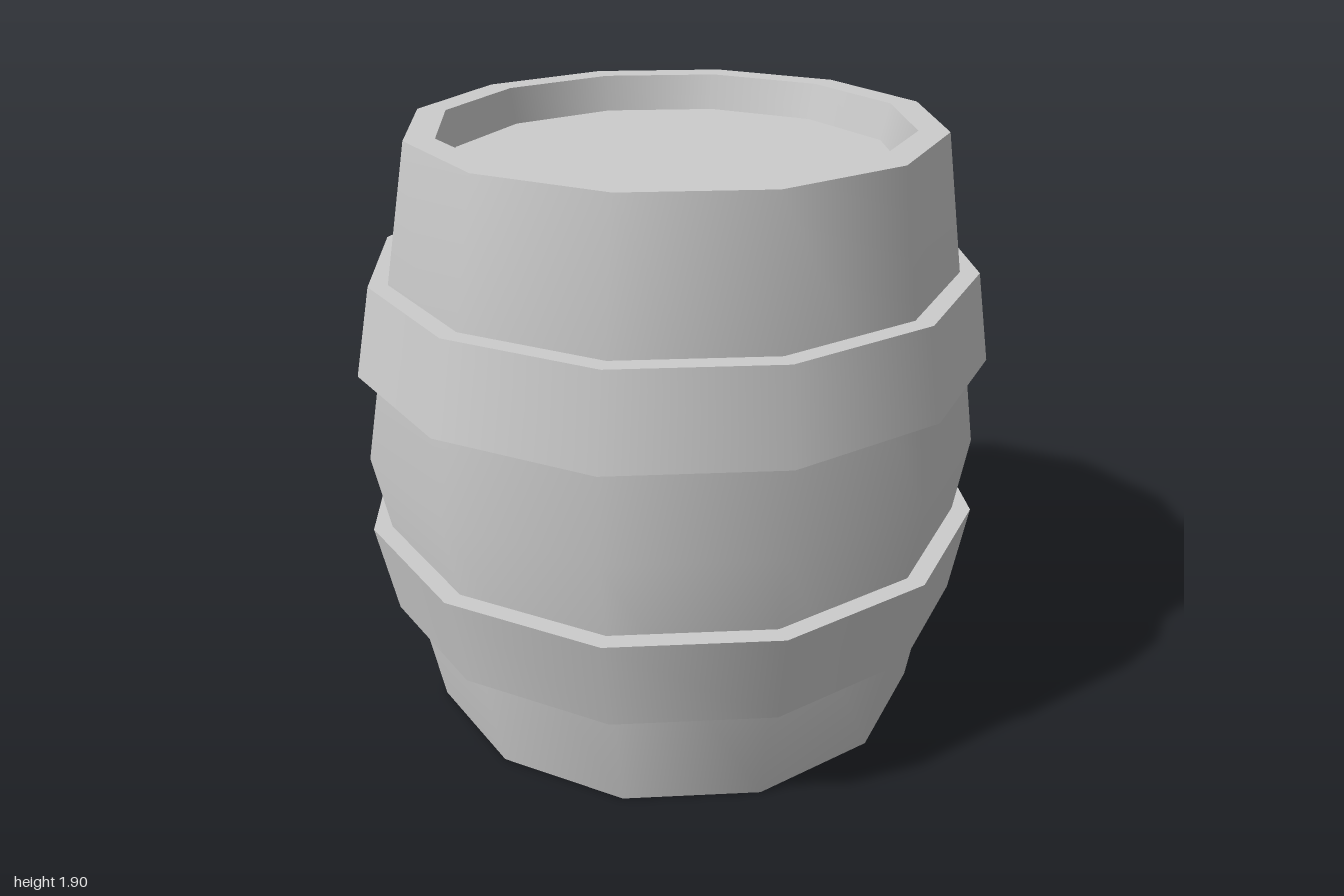
import * as THREE from 'three';
import { mergeGeometries } from 'three/addons/utils/BufferGeometryUtils.js';

const SIDES = 12;

// The barrel is very slightly skewed: its ends sit a touch to +x, its belly to -x.
function skew(geometry) {
  const p = geometry.attributes.position;
  for (let i = 0; i < p.count; i++) {
    const belly = 1 - Math.abs(p.getY(i) - 0.92) / 0.98;
    p.setX(i, p.getX(i) + 0.01 - 0.017 * belly);
  }
  return geometry;
}

// Each profile is smooth in itself; separate profiles meet in sharp edges.
function turned(name, profiles, material) {
  const pieces = profiles.map((profile) =>
    new THREE.LatheGeometry(profile.map(([r, y]) => new THREE.Vector2(r, y)), SIDES));
  const mesh = new THREE.Mesh(skew(mergeGeometries(pieces)), material);
  mesh.name = name;
  return mesh;
}

// Splits a polyline into separate segments, giving a crease at every corner.
const creased = (points) => points.slice(1).map((p, i) => [points[i], p]);

export function createModel() {
  const group = new THREE.Group();
  group.name = 'barrel';
  const material = new THREE.MeshStandardMaterial({ color: 0xcccccc });

  // Bulging wall of staves
  group.add(turned('staves', [[[0.82, 0], [0.983, 0.92], [0.82, 1.905]]], material));

  // Recessed ends with their rims
  group.add(turned('bottomEnd', creased([[0, 0.115], [0.7, 0.115], [0.727, 0], [0.82, 0]]), material));
  group.add(turned('topEnd', creased([[0.82, 1.905], [0.727, 1.905], [0.7, 1.79], [0, 1.79]]), material));

  // Hoops, each with a ledge running into the staves
  group.add(turned('lowerHoop', creased([[0.88, 0.37], [0.943, 0.37], [0.998, 0.67], [0.93, 0.67]]), material));
  group.add(turned('upperHoop', creased([[0.93, 1.2], [1, 1.2], [0.95, 1.48], [0.88, 1.48]]), material));

  return group;
}
